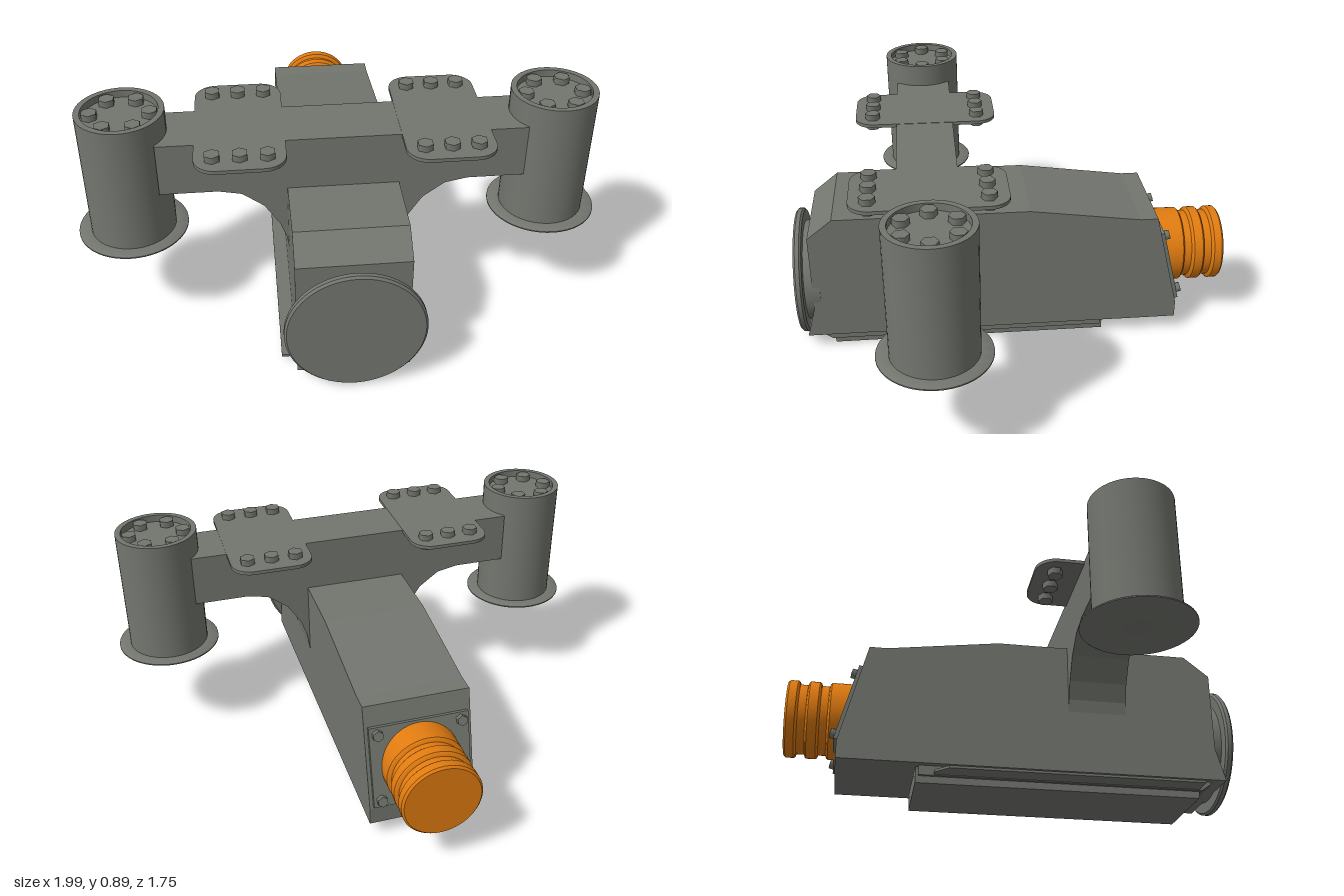
import * as THREE from 'three';
import { toCreasedNormals } from 'three/addons/utils/BufferGeometryUtils.js';

const grey = new THREE.MeshStandardMaterial({ color: 0x73766f });
grey.name = 'metalGrey';
const orange = new THREE.MeshStandardMaterial({ color: 0xe07b10 });
orange.name = 'signalOrange';

const CX = -0.004; // centre line of the housing

function createModel() {
  const model = new THREE.Group();
  model.name = 'bracketAssembly';

  const add = (name, geo, mat = grey, parent = model) => {
    const mesh = new THREE.Mesh(geo, mat);
    mesh.name = name;
    parent.add(mesh);
    return mesh;
  };
  const toShape = pts => new THREE.Shape(pts.map(p => new THREE.Vector2(...p)));
  const extrude = (shape, depth) =>
    new THREE.ExtrudeGeometry(shape, { depth, bevelEnabled: false, curveSegments: 8 });
  // Side profile in (z, y), extruded across x
  const sideProfile = (pts, width) =>
    extrude(toShape(pts), width).translate(0, 0, -width / 2).rotateY(-Math.PI / 2).translate(CX, 0, 0);
  // Plan outline in (x, z), hanging down from a top height
  const plan = (shape, top, thick) => extrude(shape, thick).rotateX(Math.PI / 2).translate(0, top, 0);
  // Turned part, profile in (radius, height), outside upwards
  const turned = (pts, seg = 48) =>
    toCreasedNormals(new THREE.LatheGeometry(pts.map(p => new THREE.Vector2(...p)), seg), 0.6);
  const hex = (r, h) => new THREE.CylinderGeometry(r, r, h, 6).toNonIndexed();

  // Main housing
  add('housing', sideProfile([
    [0.81, 0.52], [0.71, 0.6], [-0.06, 0.6], [-0.5, 0.54], [-0.57, 0.54],
    [-0.67, 0.14], [-0.67, 0.07], [0.845, 0.07], [0.81, 0.2],
  ], 0.412));

  // Skid under the housing, with a narrower lower pan
  add('skid', sideProfile([
    [0.79, 0.072], [0.79, 0.06], [0.75, 0.032], [-0.36, 0.032], [-0.36, 0.072],
  ], 0.36));
  add('skidPan', sideProfile([
    [0.745, 0.04], [0.74, 0.004], [-0.37, 0.004], [-0.37, 0.068],
  ], 0.335));

  // Thin ledge along one lower side
  add('sideLedge', plan(toShape([
    [-0.262, 0.74], [-0.262, -0.25], [-0.21, -0.3], [-0.16, -0.3], [-0.16, 0.74],
  ]), 0.046, 0.01));

  // Crossbeam with curved gussets down to the housing
  const half = [[0.672, 0.808], [0.672, 0.602], [0.46, 0.602], [0.375, 0.585],
    [0.295, 0.525], [0.24, 0.44], [0.215, 0.37], [0.205, 0.3]];
  const mirrored = half.map(([x, y]) => [-x, y]).reverse();
  add('crossbeam', extrude(toShape([...half, ...mirrored]), 0.23).translate(CX / 2, 0, 0.22));

  // Rounded mounting plates with two rows of bolts
  const plate = (x0, x1, z0, z1, r) => {
    const s = new THREE.Shape();
    s.moveTo(x0 + r, z0);
    s.lineTo(x1 - r, z0);
    s.absarc(x1 - r, z0 + r, r, -Math.PI / 2, 0, false);
    s.lineTo(x1, z1 - r);
    s.absarc(x1 - r, z1 - r, r, 0, Math.PI / 2, false);
    s.lineTo(x0 + r, z1);
    s.absarc(x0 + r, z1 - r, r, Math.PI / 2, Math.PI, false);
    s.lineTo(x0, z0 + r);
    s.absarc(x0 + r, z0 + r, r, Math.PI, Math.PI * 1.5, false);
    return s;
  };
  for (const side of [-1, 1]) {
    const group = new THREE.Group();
    group.name = side > 0 ? 'leftMountingPlate' : 'rightMountingPlate';
    group.position.x = side * 0.371 + CX;
    model.add(group);
    add('plate', toCreasedNormals(plan(plate(-0.162, 0.162, 0.042, 0.62, 0.08), 0.8095, 0.014), 0.6), grey, group);
    for (const z of [0.119, 0.549]) {
      for (const i of [-1, 0, 1]) {
        add('plateBolt', hex(0.03, 0.064), grey, group).position.set(i * 0.096, 0.802, z);
      }
    }
  }

  // Upright cylinders: base flange, open rim, recessed ring of bolts
  for (const side of [-1, 1]) {
    const group = new THREE.Group();
    group.name = side > 0 ? 'leftCylinder' : 'rightCylinder';
    group.position.set(side * 0.79 + CX, 0, 0.335);
    model.add(group);
    add('cylinderBody', turned([
      [0, 0.383], [0.2, 0.383], [0.206, 0.387], [0.206, 0.392], [0.2, 0.396], [0.16, 0.396],
      [0.16, 0.898], [0.138, 0.898], [0.138, 0.87], [0, 0.87],
    ]), grey, group);
    for (let i = 0; i < 6; i++) {
      const a = i * Math.PI / 3;
      add('cylinderBolt', hex(0.03, 0.03), grey, group)
        .position.set(Math.cos(a) * 0.106, 0.88, Math.sin(a) * 0.106);
    }
  }

  // Front end cap with its collar
  add('frontCap', turned([
    [0, 0.78], [0.205, 0.78], [0.205, 0.842], [0.248, 0.842], [0.256, 0.85],
    [0.256, 0.866], [0.248, 0.874], [0, 0.874],
  ], 64).rotateX(Math.PI / 2)).position.set(0, 0.264, 0);

  // Sloped rear plate with corner bolts
  const rear = new THREE.Group();
  rear.name = 'rearPlate';
  rear.position.set(CX, 0.305, -0.629);
  rear.rotation.x = Math.atan(0.25);
  model.add(rear);
  add('rearPanel', new THREE.BoxGeometry(0.385, 0.32, 0.03), grey, rear);
  for (const x of [-1, 1]) {
    for (const y of [-1, 1]) {
      add('rearBolt', hex(0.021, 0.03).rotateX(Math.PI / 2), grey, rear)
        .position.set(x * 0.162, y * 0.132, -0.02);
    }
  }

  // Ribbed orange plug
  add('ribbedPlug', turned([
    [0, 0.59], [0.153, 0.59], [0.153, 0.704], [0.148, 0.71], [0.138, 0.713], [0.138, 0.742],
    [0.148, 0.745], [0.153, 0.751], [0.153, 0.787], [0.148, 0.793], [0.138, 0.796], [0.138, 0.826],
    [0.148, 0.829], [0.153, 0.835], [0.153, 0.866], [0.145, 0.874], [0, 0.874],
  ]).rotateX(-Math.PI / 2), orange).position.set(CX, 0.302, 0);

  return model;
}

export { createModel };
